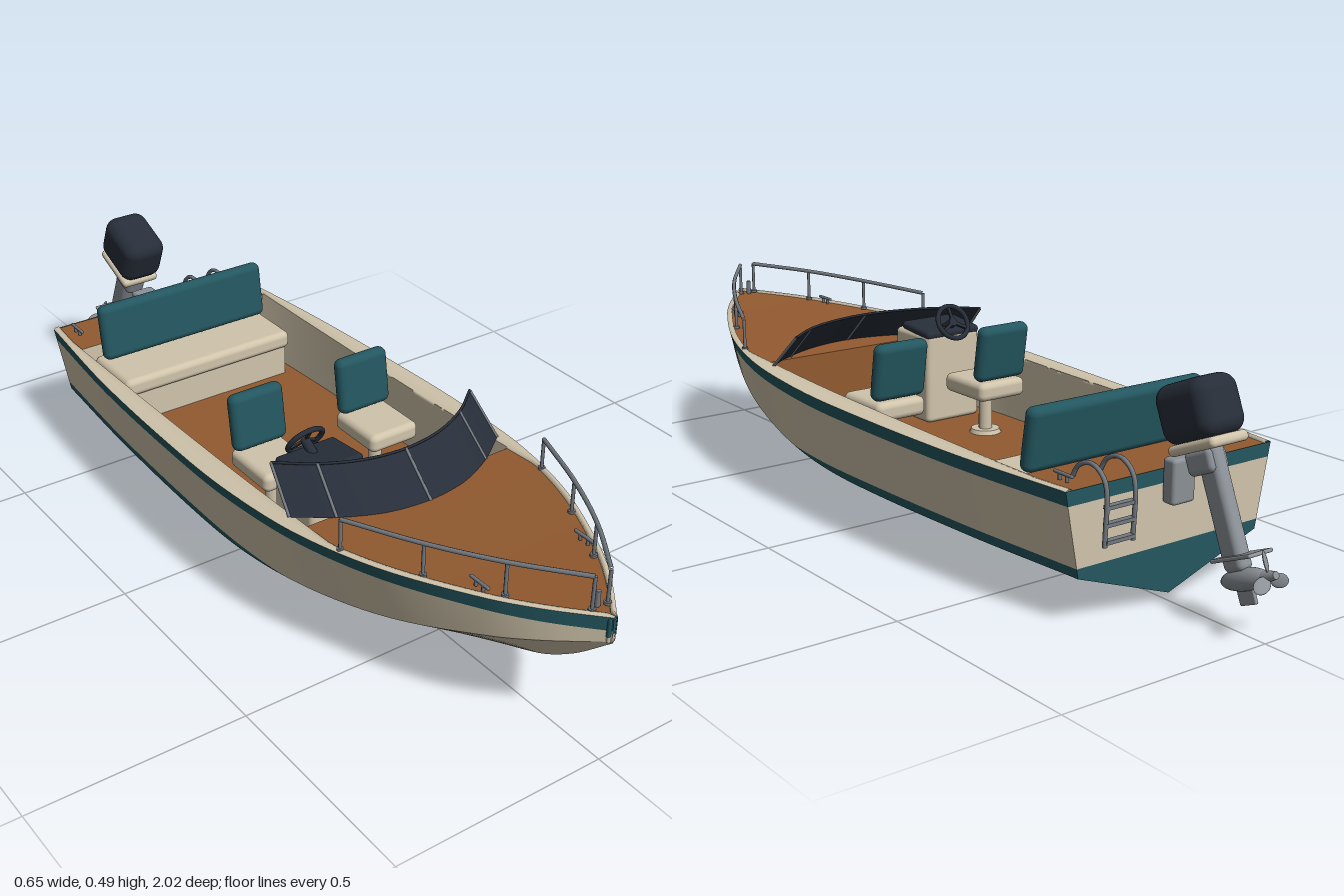
import * as THREE from 'three';
import { RoundedBoxGeometry } from 'three/addons/geometries/RoundedBoxGeometry.js';

const V = (x, y, z) => new THREE.Vector3(x, y, z);
const paint = (name, color, side = THREE.FrontSide) => {
  const m = new THREE.MeshStandardMaterial({ color, side });
  m.name = name;
  return m;
};

// hull stations: z, half beam, sheer height, keel height, chine half width, chine height
const STATIONS = [
  [-0.735, 0.275, 0.288, 0.02, 0.24, 0.105],
  [-0.4, 0.309, 0.29, 0.01, 0.263, 0.104],
  [0, 0.325, 0.296, 0.003, 0.275, 0.106],
  [0.2, 0.321, 0.302, 0.009, 0.27, 0.117],
  [0.4, 0.3, 0.312, 0.025, 0.245, 0.141],
  [0.6, 0.245, 0.324, 0.063, 0.203, 0.182],
  [0.8, 0.15, 0.337, 0.137, 0.132, 0.238],
  [0.9, 0.085, 0.344, 0.2, 0.08, 0.268],
  [1, 0.004, 0.351, 0.29, 0.003, 0.295],
];
// smooth interpolation of one station column
function column(c) {
  const n = STATIONS.length;
  const slope = (i) => {
    const a = STATIONS[Math.max(0, i - 1)], b = STATIONS[Math.min(n - 1, i + 1)];
    return (b[c] - a[c]) / (b[0] - a[0]);
  };
  return (z) => {
    let i = 0;
    while (i < n - 2 && z > STATIONS[i + 1][0]) i++;
    const a = STATIONS[i], b = STATIONS[i + 1], h = b[0] - a[0];
    const t = THREE.MathUtils.clamp((z - a[0]) / h, 0, 1), t2 = t * t, t3 = t2 * t;
    return (2 * t3 - 3 * t2 + 1) * a[c] + (t3 - 2 * t2 + t) * h * slope(i)
      + (3 * t2 - 2 * t3) * b[c] + (t3 - t2) * h * slope(i + 1);
  };
}
const [beam, sheer, keel, chineX, chineY] = [1, 2, 3, 4, 5].map(column);
const hullX = (z, y) => {
  const c = chineY(z), k = keel(z);
  if (y <= c) return chineX(z) * THREE.MathUtils.clamp((y - k) / Math.max(c - k, 1e-4), 0, 1);
  return THREE.MathUtils.lerp(chineX(z), beam(z), Math.min(1, (y - c) / (sheer(z) - c)));
};
const inner = (z) => Math.max(0, Math.min(0.27, beam(z) - 0.015));
const range = (a, b, n) => Array.from({ length: n + 1 }, (_, i) => a + (b - a) * i / n);

// surface through rows of points
function loft(rows) {
  const m = rows[0].length, pos = [], idx = [];
  rows.forEach((r) => r.forEach((p) => pos.push(p.x, p.y, p.z)));
  for (let i = 0; i < rows.length - 1; i++) for (let j = 0; j < m - 1; j++) {
    const a = i * m + j, b = a + m;
    idx.push(a, b, a + 1, b, b + 1, a + 1);
  }
  const g = new THREE.BufferGeometry();
  g.setAttribute('position', new THREE.Float32BufferAttribute(pos, 3));
  g.setIndex(idx);
  g.computeVertexNormals();
  return g;
}
const tube = (pts, r, n = 24) =>
  new THREE.TubeGeometry(new THREE.CatmullRomCurve3(pts.map((p) => V(...p)), false, 'centripetal'), n, r, 8);
const rbox = (w, h, d, r) => new RoundedBoxGeometry(w, h, d, 4, r);

export function createModel() {
  const root = new THREE.Group();
  root.name = 'motorboat';
  const D = THREE.DoubleSide;
  const teal = paint('teal', 0x23565f, D), cream = paint('cream', 0xcfc3aa, D);
  const wood = paint('wood', 0x925a30, D), navy = paint('navy', 0x272e39, D);
  const steel = paint('steel', 0x737980), grey = paint('engine grey', 0x8b9197);

  const add = (parent, name, geo, mat, x = 0, y = 0, z = 0, rx = 0) => {
    const m = new THREE.Mesh(geo, mat);
    m.name = name;
    m.position.set(x, y, z);
    m.rotation.x = rx;
    parent.add(m);
    return m;
  };
  const group = (parent, name, x = 0, y = 0, z = 0) => {
    const g = new THREE.Group();
    g.name = name;
    g.position.set(x, y, z);
    parent.add(g);
    return g;
  };

  // hull: bands between height rules, mirrored, with matching transom bands
  const hull = group(root, 'hull');
  const WATER = 0.126, AFT = -0.735, FLOOR = 0.14, BULK = 0.38;
  const low = (z) => Math.max(WATER, keel(z));
  const stripeLow = (z) => Math.max(sheer(z) - 0.031, keel(z));
  const bands = [
    ['bottomPaint', teal, keel, (z) => Math.max(keel(z), Math.min(chineY(z), WATER))],
    ['chinePaint', teal, (z) => Math.max(keel(z), Math.min(chineY(z), WATER)), low],
    ['bowBottom', cream, low, (z) => Math.max(chineY(z), WATER)],
    ['topside', cream, (z) => Math.max(chineY(z), WATER), stripeLow],
    ['sheerStripe', teal, stripeLow, sheer],
  ];
  const zs = range(AFT, 1, 90);
  for (const [name, mat, lo, hi] of bands) {
    for (const s of [1, -1]) {
      add(hull, name, loft(range(0, 1, 4).map((t) => zs.map((z) => {
        const y = THREE.MathUtils.lerp(lo(z), hi(z), t);
        return V(s * hullX(z, y), y, z);
      }))), mat);
    }
    if (hi(AFT) - lo(AFT) > 0.001) add(hull, name + 'Transom', loft([lo(AFT), hi(AFT)].map((y) =>
      [V(-hullX(AFT, y), y, AFT), V(hullX(AFT, y), y, AFT)])), mat);
  }

  // gunwale caps and cockpit side liners
  const cockpit = range(-0.6, BULK, 40);
  const footX = (z) => Math.min(inner(z), hullX(z, FLOOR) - 0.01);
  for (const s of [1, -1]) {
    add(hull, 'gunwaleCap', loft([
      zs.map((z) => V(s * beam(z), sheer(z), z)),
      zs.map((z) => V(s * (beam(z) + inner(z)) / 2, sheer(z) + 0.004, z)),
      zs.map((z) => V(s * inner(z), sheer(z) + 0.003, z)),
      zs.map((z) => V(s * inner(z), sheer(z) - 0.006, z)),
    ]), cream);
    add(hull, 'cockpitLiner', loft([
      cockpit.map((z) => V(s * inner(z), sheer(z) + 0.002, z)),
      cockpit.map((z) => V(s * footX(z), FLOOR, z)),
    ]), cream);
  }

  // wooden decks, sole and bulkheads
  const across = (list, w, y) => loft([-1, 1].map((s) => list.map((z) => V(s * w(z), y(z), z))));
  const deckY = (z) => sheer(z) - 0.002;
  add(hull, 'foredeck', across(range(BULK, 0.995, 40), inner, deckY), wood);
  add(hull, 'aftDeck', across(range(AFT, -0.6, 8), inner, deckY), wood);
  add(hull, 'cockpitSole', across(cockpit, footX, () => FLOOR), wood);
  for (const [name, z, mat] of [['foreBulkhead', BULK, wood], ['aftBulkhead', -0.6, cream]]) {
    add(hull, name, loft([[V(-footX(z), FLOOR, z), V(footX(z), FLOOR, z)],
      [V(-inner(z), deckY(z), z), V(inner(z), deckY(z), z)]]), mat);
  }

  // bow fitting
  add(hull, 'bowPlate', rbox(0.022, 0.045, 0.012, 0.004), teal, 0, 0.325, 0.992);
  add(hull, 'bowRoller', rbox(0.02, 0.024, 0.016, 0.004), cream, 0, 0.302, 0.99);
  add(hull, 'bowPost', new THREE.CylinderGeometry(0.005, 0.006, 0.035, 10), steel, 0, 0.365, 0.95);

  // two swivel chairs
  for (const s of [1, -1]) {
    const c = group(root, 'chair', s * 0.145, 0, 0);
    add(c, 'chairFoot', new THREE.CylinderGeometry(0.034, 0.038, 0.01, 24), cream, 0, FLOOR + 0.005, 0.065);
    add(c, 'chairPost', new THREE.CylinderGeometry(0.016, 0.016, 0.1, 16), cream, 0, 0.19, 0.065);
    add(c, 'chairCushion', rbox(0.132, 0.045, 0.15, 0.015), cream, 0, 0.258, 0.068);
    add(c, 'chairBack', rbox(0.138, 0.135, 0.036, 0.017), teal, 0, 0.35, 0.007, -0.15);
  }

  // stern bench
  const bench = group(root, 'bench');
  add(bench, 'benchBase', new THREE.BoxGeometry(0.46, 0.08, 0.155), cream, 0, 0.18, -0.515);
  add(bench, 'benchCushion', rbox(0.475, 0.045, 0.17, 0.015), cream, 0, 0.24, -0.51);
  add(bench, 'benchBack', rbox(0.465, 0.14, 0.036, 0.017), teal, 0, 0.337, -0.558, -0.15);

  // helm console and wheel
  const helm = group(root, 'helm', -0.147, 0, 0);
  add(helm, 'console', rbox(0.155, 0.22, 0.14, 0.012), cream, 0, 0.25, 0.266);
  add(helm, 'dashboard', rbox(0.155, 0.02, 0.115, 0.009), navy, 0, 0.364, 0.253, -0.1);
  const wheel = group(helm, 'steeringWheel', 0, 0.385, 0.2);
  wheel.rotation.x = 0.56;
  add(wheel, 'wheelRim', new THREE.TorusGeometry(0.042, 0.006, 10, 32), navy);
  for (let i = 0; i < 3; i++) {
    const spoke = add(wheel, 'wheelSpoke', new THREE.BoxGeometry(0.008, 0.042, 0.006), navy);
    const a = i * Math.PI * 2 / 3;
    spoke.position.set(-Math.sin(a) * 0.021, Math.cos(a) * 0.021, 0);
    spoke.rotation.z = a;
  }
  add(wheel, 'wheelColumn', new THREE.CylinderGeometry(0.011, 0.011, 0.05, 14), navy, 0, 0, 0.022, Math.PI / 2);

  // wraparound windscreen
  const screen = group(root, 'windscreen');
  const mirrorPts = (pts) => [...pts.slice(1).reverse().map(([x, y, z]) => [-x, y, z]), ...pts];
  const foot = mirrorPts([[0, 0.312, 0.452], [0.1, 0.312, 0.437], [0.2, 0.312, 0.392], [0.28, 0.312, 0.335]]);
  const top = mirrorPts([[0, 0.395, 0.362], [0.1, 0.395, 0.347], [0.19, 0.396, 0.307], [0.267, 0.396, 0.248]]);
  const edge = (pts) => new THREE.CatmullRomCurve3(pts.map((p) => V(...p))).getPoints(48);
  add(screen, 'screenPane', loft([edge(foot), edge(top)]), navy);
  add(screen, 'screenTopTrim', tube(top, 0.003, 48), navy);
  for (const i of [0, 1, 3, 5, 6]) add(screen, 'screenFrame', tube([foot[i], top[i]], 0.0035, 2), steel);

  // bow rails
  for (const s of [1, -1]) {
    const rail = group(root, 'bowRail');
    const posts = [[0.267, 0.392, 0.497], [0.194, 0.405, 0.67], [0.114, 0.417, 0.82], [0.02, 0.427, 0.957]];
    add(rail, 'topRail', tube(posts.map(([x, y, z]) => [s * x, y, z]), 0.005, 40), steel);
    for (const [x, y, z] of posts) {
      const b = sheer(z);
      add(rail, 'railPost', new THREE.CylinderGeometry(0.004, 0.004, y - b, 8), steel, s * x, (y + b) / 2, z);
      add(rail, 'railFoot', new THREE.CylinderGeometry(0.008, 0.008, 0.006, 10), steel, s * x, b + 0.003, z);
    }
  }

  // mooring cleats
  for (const s of [1, -1]) for (const [x, z] of [[0.135, 0.77], [0.235, -0.68]]) {
    const c = group(root, 'cleat', s * x, sheer(z), z);
    add(c, 'cleatHorn', new THREE.CapsuleGeometry(0.004, 0.05, 4, 8), steel, 0, 0.014, 0, Math.PI / 2);
    for (const d of [-0.011, 0.011]) add(c, 'cleatLeg', new THREE.CylinderGeometry(0.004, 0.004, 0.014, 8), steel, 0, 0.007, d);
  }

  // boarding ladder
  const ladder = group(root, 'ladder', 0.165, 0, 0);
  for (const s of [1, -1]) add(ladder, 'ladderSide', tube([[s * 0.036, 0.285, -0.665], [s * 0.036, 0.315, -0.685],
    [s * 0.036, 0.327, -0.725], [s * 0.036, 0.3, -0.762], [s * 0.036, 0.17, -0.765]], 0.005), steel);
  for (const y of [0.18, 0.215, 0.25]) add(ladder, 'ladderRung', new THREE.BoxGeometry(0.072, 0.008, 0.014), steel, 0, y, -0.765);

  // tilted outboard motor
  add(root, 'motorBracket', rbox(0.06, 0.095, 0.035, 0.008), grey, 0, 0.265, -0.753);
  const motor = group(root, 'outboardMotor', 0, 0.415, -0.803);
  motor.rotation.x = 0.4;
  add(motor, 'cowl', rbox(0.113, 0.12, 0.148, 0.032), navy, 0, 0.005, 0);
  add(motor, 'cowlTrim', rbox(0.1, 0.022, 0.132, 0.01), cream, 0, -0.063, 0);
  add(motor, 'swivel', rbox(0.05, 0.05, 0.075, 0.012), grey, 0, -0.095, 0.015);
  add(motor, 'driveLeg', rbox(0.036, 0.25, 0.056, 0.014), grey, 0, -0.19, 0);
  add(motor, 'cavitationPlate', rbox(0.065, 0.008, 0.11, 0.003), grey, 0, -0.285, -0.015);
  const gearcase = add(motor, 'gearcase', new THREE.SphereGeometry(0.024, 24, 16), grey, 0, -0.33, -0.01);
  gearcase.scale.set(0.9, 0.95, 2.7);
  add(motor, 'skeg', rbox(0.008, 0.04, 0.045, 0.003), grey, 0, -0.36, -0.005);
  add(motor, 'propHub', new THREE.CylinderGeometry(0.014, 0.008, 0.04, 16), grey, 0, -0.33, -0.074, Math.PI / 2);
  for (let i = 0; i < 3; i++) {
    const arm = group(motor, 'propeller', 0, -0.33, -0.075);
    arm.rotation.z = i * Math.PI * 2 / 3;
    const blade = add(arm, 'propBlade', new THREE.SphereGeometry(0.022, 14, 10), grey, 0, 0.027, 0);
    blade.scale.set(0.7, 1, 0.16);
    blade.rotation.y = 0.6;
  }
  return root;
}
